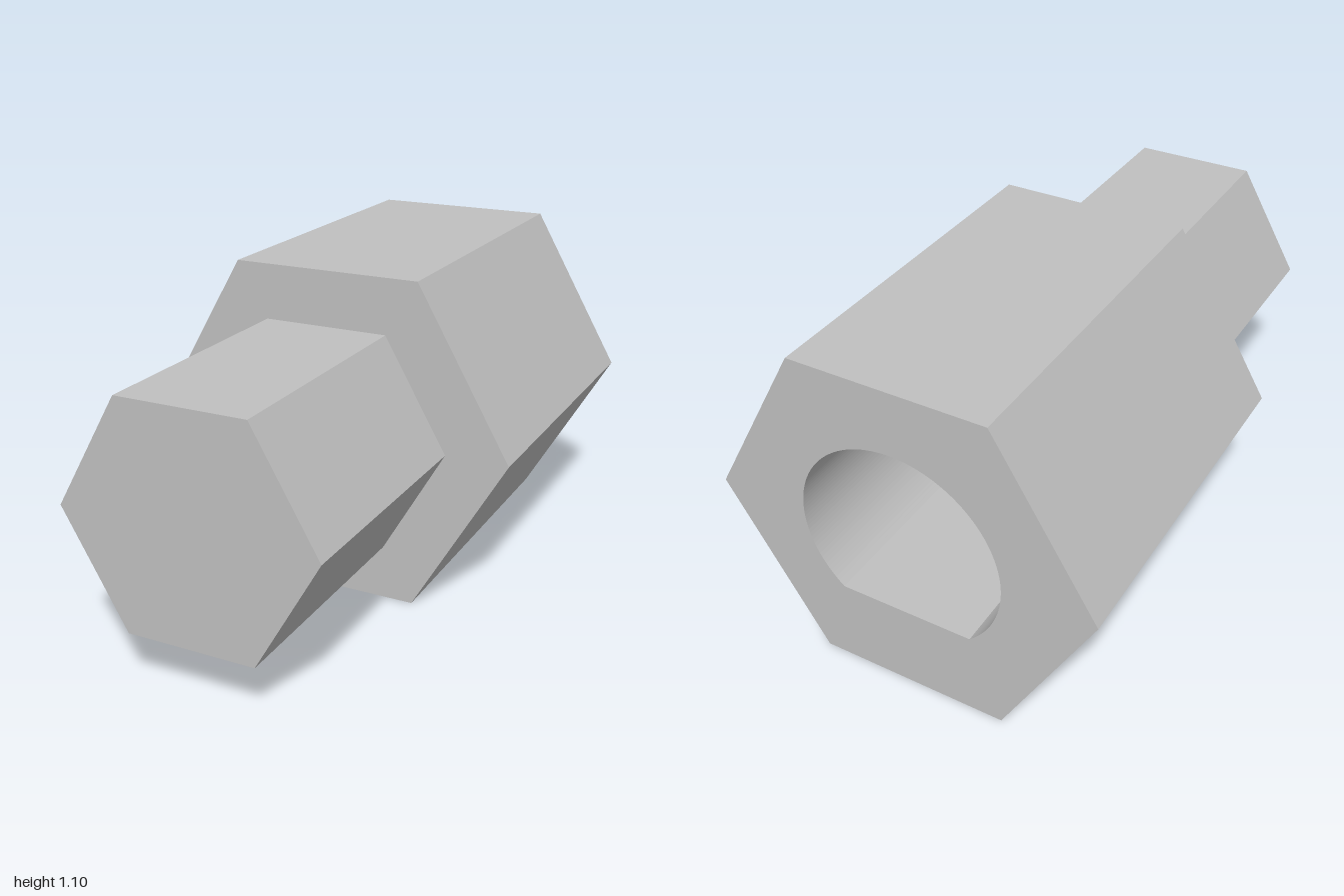
import * as THREE from 'three';

const CENTRE_Y = 0.55;
const BACK = -1, STEP = 0.165, FRONT = 1;

// Hexagon with corners on the x axis and flats at top and bottom
function hexShape(radius) {
  const points = [];
  for (let i = 0; i < 6; i++) {
    const a = (i * Math.PI) / 3;
    points.push(new THREE.Vector2(radius * Math.cos(a), radius * Math.sin(a)));
  }
  return new THREE.Shape(points);
}

// Straight prism along z between two depths
function prism(name, shape, z0, z1, material) {
  const geometry = new THREE.ExtrudeGeometry(shape, {
    depth: z1 - z0, bevelEnabled: false, curveSegments: 64,
  });
  const mesh = new THREE.Mesh(geometry, material);
  mesh.name = name;
  mesh.position.set(0, CENTRE_Y, z0);
  return mesh;
}

export function createModel() {
  const group = new THREE.Group();
  group.name = 'hexShaftAdapter';
  const grey = new THREE.MeshStandardMaterial({ color: 0xc0c0c0 });
  grey.name = 'grey';

  // Wide socket with a D-shaped bore, flat at the bottom
  const socket = hexShape(0.635);
  const boreRadius = 0.336, flatY = -0.252;
  const start = Math.asin(flatY / boreRadius);
  const bore = new THREE.Path();
  bore.absarc(0, 0, boreRadius, start, Math.PI - start, false);
  bore.closePath();
  socket.holes.push(bore);
  group.add(prism('socket', socket, BACK, STEP, grey));

  // Narrow solid shank, whose back face closes the bore
  group.add(prism('shank', hexShape(0.423), STEP, FRONT, grey));

  return group;
}
